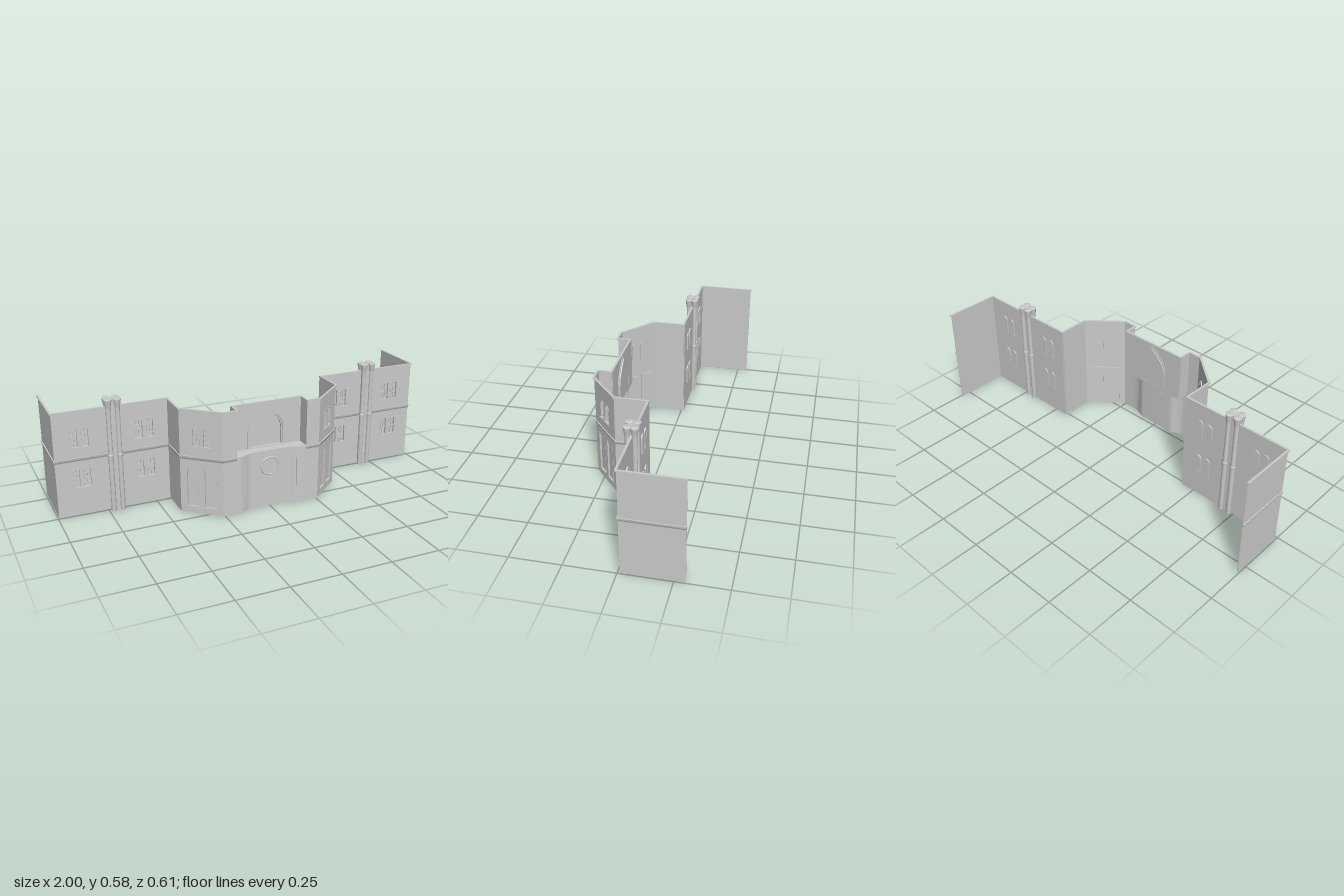
import * as THREE from 'three';

const mat = new THREE.MeshStandardMaterial({ color: 0xcccccc, side: THREE.DoubleSide });
const TOP = 0.54, MID = 0.3, T = 0.004;

function add(parent, name, geo, x = 0, y = 0, z = 0) {
  const m = new THREE.Mesh(geo, mat);
  m.name = name;
  m.position.set(x, y, z);
  parent.add(m);
  return m;
}
const box = (w, h, d) => new THREE.BoxGeometry(w, h, d);
const extrude = (shape, depth) =>
  new THREE.ExtrudeGeometry(shape, { depth, bevelEnabled: false, curveSegments: 10 });

// Outlines: rectangle, round-headed lancet, pointed arch
function rect(x0, y0, x1, y1, S = THREE.Shape) {
  return new S([[x0, y0], [x1, y0], [x1, y1], [x0, y1]].map(p => new THREE.Vector2(...p)));
}
function lancet(x, y0, y1, w, S = THREE.Shape) {
  const s = new S(), r = w / 2;
  s.moveTo(x - r, y0);
  s.lineTo(x + r, y0);
  s.lineTo(x + r, y1 - r);
  s.absarc(x, y1 - r, r, 0, Math.PI, false);
  s.lineTo(x - r, y0);
  return s;
}
function pointed(x, y0, spring, apex, half, S = THREE.Shape) {
  const s = new S(), h = apex - spring;
  s.moveTo(x - half, y0);
  s.lineTo(x + half, y0);
  s.lineTo(x + half, spring);
  s.bezierCurveTo(x + half, spring + h * 0.45, x + half * 0.5, apex - h * 0.25, x, apex);
  s.bezierCurveTo(x - half * 0.5, apex - h * 0.25, x - half, spring + h * 0.45, x - half, spring);
  s.lineTo(x - half, y0);
  return s;
}

// Pair of lancet windows with frames, panes, glazing bars and a sill
function windowPair(wall, holes, u, y0) {
  const y1 = y0 + 0.102, g = new THREE.Group();
  g.name = 'windowPair';
  wall.add(g);
  for (const s of [-1, 1]) {
    const x = u + s * 0.027;
    holes.push(lancet(x, y0, y1, 0.038, THREE.Path));
    const frame = lancet(x, y0, y1, 0.038);
    frame.holes.push(lancet(x, y0 + 0.004, y1 - 0.004, 0.03, THREE.Path));
    add(g, 'windowFrame', extrude(frame, 0.012), 0, 0, -0.01);
    add(g, 'windowPane', new THREE.ShapeGeometry(lancet(x, y0, y1, 0.038)), 0, 0, -0.009);
    add(g, 'mullion', box(0.003, 0.096, 0.004), x, y0 + 0.05, -0.007);
    for (const dy of [0.022, 0.046, 0.07])
      add(g, 'glazingBar', box(0.032, 0.003, 0.004), x, y0 + dy, -0.007);
  }
  add(g, 'windowSill', box(0.105, 0.004, 0.008), u, y0 - 0.001, 0.001);
}

// Recessed tall panel with a raised inner field
function panel(wall, holes, u) {
  holes.push(rect(u - 0.034, 0.03, u + 0.034, 0.247, THREE.Path));
  const frame = rect(u - 0.034, 0.03, u + 0.034, 0.247);
  frame.holes.push(rect(u - 0.029, 0.035, u + 0.029, 0.242, THREE.Path));
  add(wall, 'panelFrame', extrude(frame, 0.01), 0, 0, -0.009);
  add(wall, 'panelBack', box(0.068, 0.217, 0.002), u, 0.1385, -0.009);
}

// One straight wall between two plan points; local z faces outward
function wallRun(root, name, [ax, az], [bx, bz], o = {}) {
  const g = new THREE.Group(), dx = bx - ax, dz = bz - az, L = Math.hypot(dx, dz);
  g.name = name;
  g.position.set(ax, 0, az);
  g.rotation.y = Math.atan2(-dz, dx);
  root.add(g);
  const holes = [], y0 = o.y0 ?? 0;
  for (const u of o.windows ?? [])
    for (const y of o.rows ?? [0.143, 0.35]) windowPair(g, holes, u, y);
  for (const u of o.panels ?? []) panel(g, holes, u);
  if (o.arch) {
    const u = L / 2;
    holes.push(pointed(u, MID + 0.005, 0.385, 0.53, 0.1, THREE.Path));
    for (const [half, apex, inHalf, inApex, z] of
      [[0.1, 0.53, 0.09, 0.517, -0.007], [0.09, 0.517, 0.082, 0.505, -0.013]]) {
      const ring = pointed(u, MID + 0.005, 0.385, apex, half);
      ring.holes.push(pointed(u, MID + 0.006, 0.385, inApex, inHalf, THREE.Path));
      add(g, 'archMoulding', extrude(ring, 0.01), 0, 0, z);
    }
    add(g, 'archInfill', new THREE.ShapeGeometry(pointed(u, MID + 0.005, 0.385, 0.517, 0.09), 12), 0, 0, -0.012);
  }
  const face = rect(0, y0, L, TOP - 0.002);
  face.holes.push(...holes);
  add(g, 'wall', extrude(face, T), 0, 0, -T);
  add(g, 'cornice', box(L + 0.008, 0.007, 0.011), L / 2, TOP - 0.0035, 0.0015);
  if (y0 === 0) {
    // String course: flat top, sloping underside
    const p = new THREE.Shape([[0, 0.282], [0.004, 0.29], [0.006, 0.3], [0, 0.3]].map(q => new THREE.Vector2(...q)));
    const geo = extrude(p, L + 0.004).rotateY(-Math.PI / 2).scale(-1, 1, 1);
    add(g, 'stringCourse', geo, -0.002, 0, 0);
  }
}

// Clustered column: four flared shafts around a core, passing through the wall
function column(root, x) {
  const g = new THREE.Group();
  g.name = 'column';
  g.position.set(x, 0, -0.004);
  root.add(g);
  const profile = [[0, 0], [0.0125, 0], [0.0125, 0.265], [0.016, 0.292], [0.016, 0.299], [0.0115, 0.302],
    [0.0115, 0.53], [0.014, 0.545], [0.019, 0.574], [0.019, 0.58], [0, 0.58]].map(p => new THREE.Vector2(...p));
  for (const sx of [-1, 1]) for (const sz of [-1, 1])
    add(g, 'columnShaft', new THREE.LatheGeometry(profile, 14), sx * 0.023, 0, sz * 0.0165);
  add(g, 'columnCore', box(0.05, 0.575, 0.032), 0, 0.2875, 0);
}

// Concave plan curve of the entrance bay, pushed forward by d
function bayCurve(d) {
  const half = [[0.187, 0.298], [0.16, 0.296], [0.135, 0.287], [0.11, 0.276], [0.085, 0.273], [0, 0.273]];
  const pts = [...half.map(([x, z]) => [-x, z]), ...half.slice(0, -1).reverse()]
    .map(([x, z]) => new THREE.Vector2(x, -(z + d)));
  return new THREE.SplineCurve(pts).getPoints(40);
}
const upright = (pts, h) => extrude(new THREE.Shape(pts), h).rotateX(-Math.PI / 2);

export function createModel() {
  const root = new THREE.Group();
  root.name = 'facade';

  // Plan of the left-hand half, then mirrored
  const half = [[-0.994, -0.303], [-0.994, -0.01], [-0.425, -0.01], [-0.425, 0.155], [-0.258, 0.298], [-0.187, 0.298], [-0.187, 0.23]];
  const names = ['sideWall', 'wingWall', 'returnWall', 'angledWall', 'frontPier', 'recessSide'];
  const len = Math.hypot(0.167, 0.143);
  const options = [{}, { windows: [0.128, 0.45] }, {},
    { windows: [len / 2], rows: [0.35], panels: [len / 2 - 0.045, len / 2 + 0.045] }, {}, { y0: MID }];
  names.forEach((name, i) => {
    const a = half[i], b = half[i + 1], o = options[i];
    wallRun(root, name, a, b, o);
    const L = Math.hypot(b[0] - a[0], b[1] - a[1]);
    wallRun(root, name, [-b[0], b[1]], [-a[0], a[1]], { ...o, windows: o.windows?.map(u => L - u) });
  });
  wallRun(root, 'archWall', [-0.187, 0.23], [0.187, 0.23], { y0: MID - 0.01, arch: true });

  for (const x of [-0.703, 0.703]) column(root, x);

  // Entrance bay: curved lower wall and stepped ledge above
  add(root, 'curvedWall', upright([...bayCurve(0), ...bayCurve(-T).reverse()], 0.285));
  [0.001, 0.003, 0.006].forEach((d, i) => {
    const pts = [...bayCurve(d), new THREE.Vector2(0.187, -0.228), new THREE.Vector2(-0.187, -0.228)];
    add(root, 'ledge', upright(pts, 0.0075), 0, 0.279 + i * 0.0072, 0);
  });
  for (const s of [-1, 1]) add(root, 'wallStrip', box(0.006, 0.15, 0.008), s * 0.142, 0.165, 0.29);

  // Round medallion
  add(root, 'medallionRing', new THREE.TorusGeometry(0.046, 0.004, 8, 36), 0, 0.215, 0.273);
  add(root, 'medallionDisc', new THREE.CylinderGeometry(0.045, 0.045, 0.008, 36).rotateX(Math.PI / 2), 0, 0.215, 0.271);

  return root;
}
